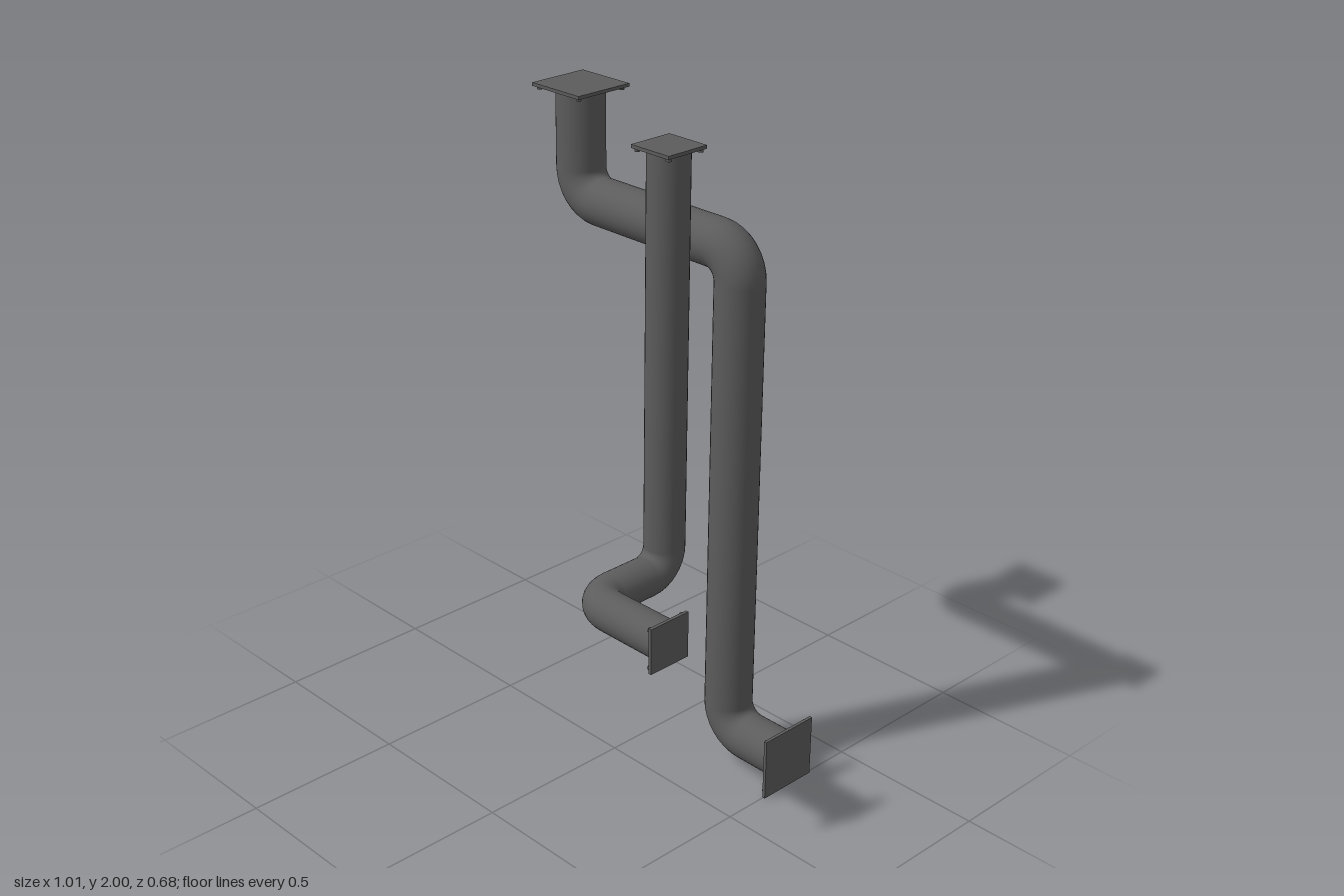
import * as THREE from 'three';

const metal = new THREE.MeshStandardMaterial({ color: 0x5c5c5c });
metal.name = 'dark grey metal';
const UP = new THREE.Vector3(0, 1, 0);

function add(group, name, geometry) {
  const mesh = new THREE.Mesh(geometry, metal);
  mesh.name = name;
  group.add(mesh);
  return mesh;
}

// Square mounting plate, outer face at p, facing along dir, with bolts behind it
function flange(p, dir, size, boltInset) {
  const g = new THREE.Group();
  g.name = 'flange';
  add(g, 'plate', new THREE.BoxGeometry(size, 0.01, size)).position.y = -0.005;
  const o = size / 2 - boltInset;
  for (const sx of [-1, 1]) for (const sz of [-1, 1]) {
    add(g, 'bolt', new THREE.CylinderGeometry(0.008, 0.008, 0.01, 10)).position.set(sx * o, -0.014, sz * o);
  }
  g.position.copy(p);
  g.quaternion.setFromUnitVectors(UP, dir);
  return g;
}

// Straight runs joined by quarter-turn elbows, with a flange on both ends
function pipe(name, coords, radius, bend, plateSize, boltInset) {
  const g = new THREE.Group();
  g.name = name;
  const pts = coords.map(c => new THREE.Vector3(...c));
  const dirs = pts.slice(1).map((p, i) => p.clone().sub(pts[i]).normalize());
  const last = dirs.length - 1;

  dirs.forEach((d, i) => {
    const a = pts[i].clone().addScaledVector(d, i === 0 ? 0.005 : bend);
    const b = pts[i + 1].clone().addScaledVector(d, i === last ? -0.005 : -bend);
    const run = add(g, 'straightPipe', new THREE.CylinderGeometry(radius, radius, a.distanceTo(b), 32, 1, true));
    run.position.copy(a).lerp(b, 0.5);
    run.quaternion.setFromUnitVectors(UP, d);

    if (i === last) return;
    const n = dirs[i + 1];
    const x = n.clone().negate();
    const elbow = add(g, 'elbow', new THREE.TorusGeometry(bend, radius, 32, 8, Math.PI / 2));
    elbow.quaternion.setFromRotationMatrix(
      new THREE.Matrix4().makeBasis(x, d, x.clone().cross(d)));
    elbow.position.copy(pts[i + 1]).addScaledVector(d, -bend).addScaledVector(n, bend);
  });

  g.add(flange(pts[0], dirs[0].clone().negate(), plateSize, boltInset));
  g.add(flange(pts[last + 1], dirs[last], plateSize, boltInset));
  return g;
}

export function createModel() {
  const model = new THREE.Group();
  model.name = 'pipes';

  // Large pipe at the back
  model.add(pipe('largePipe', [
    [-0.402, 2, -0.243], [-0.402, 1.66, -0.243], [0.253, 1.66, -0.243],
    [0.253, 0.104, -0.243], [0.507, 0.104, -0.243],
  ], 0.074, 0.092, 0.2, 0.016));

  // Small pipe at the front
  model.add(pipe('smallPipe', [
    [0.193, 2, -0.017], [0.193, 0.717, -0.017], [0.193, 0.717, 0.269], [0.507, 0.717, 0.269],
  ], 0.061, 0.078, 0.143, 0.012));

  return model;
}
